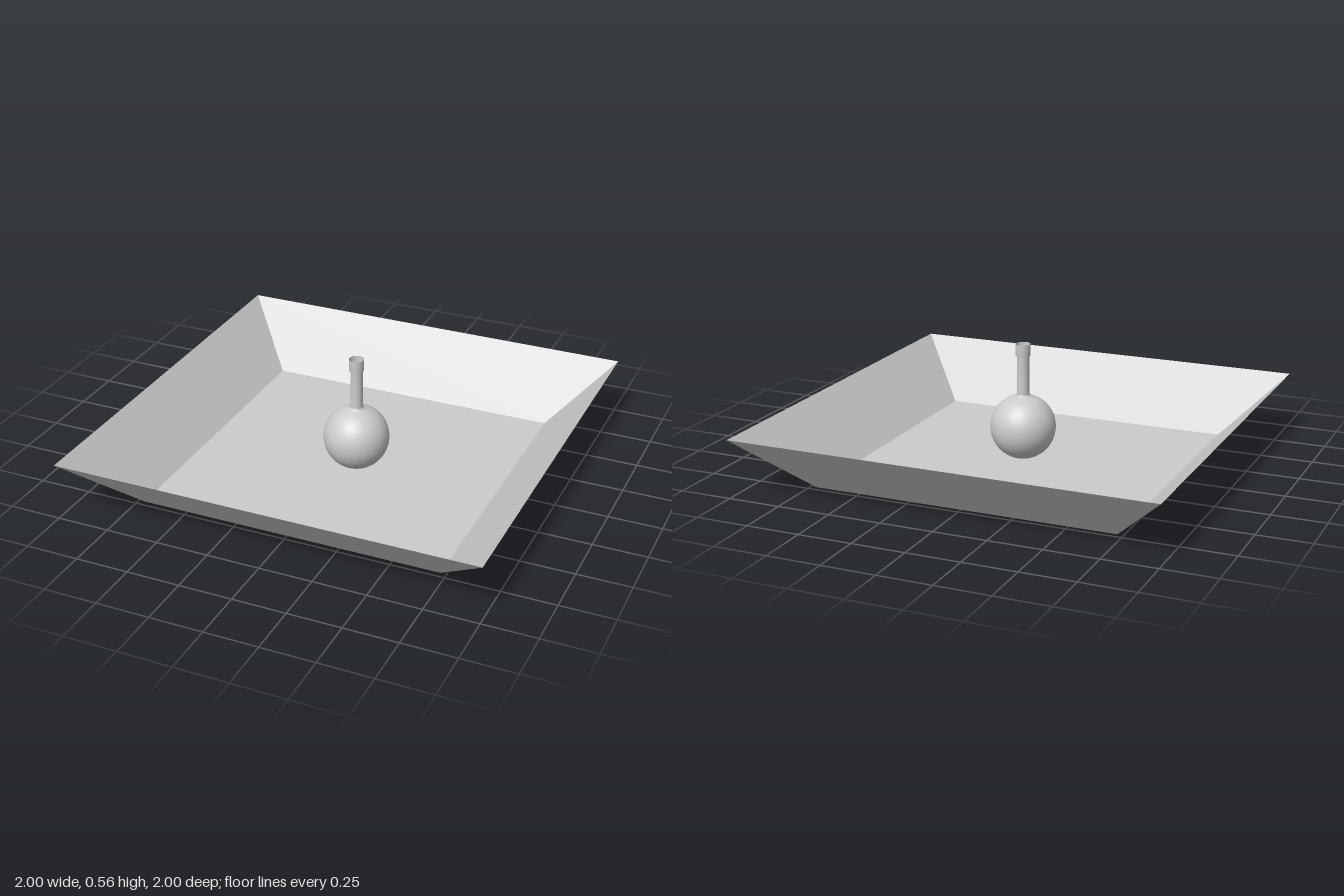
import * as THREE from 'three';

export function createModel() {
  const group = new THREE.Group();
  const material = { color: 0xcccccc, side: THREE.DoubleSide };
  const add = (name, geometry, mat) => {
    const mesh = new THREE.Mesh(geometry, mat);
    mesh.name = name;
    group.add(mesh);
    return mesh;
  };

  // Thin square tray: four sloping walls around a flat floor
  const rim = 1, base = 0.722, height = 0.272;
  const flat = new THREE.MeshStandardMaterial({ ...material, flatShading: true });
  const walls = new THREE.CylinderGeometry(
    rim * Math.SQRT2, base * Math.SQRT2, height, 4, 1, true, Math.PI / 4);
  add('trayWalls', walls.translate(0, height / 2, 0), flat);
  add('trayFloor', new THREE.PlaneGeometry(base * 2, base * 2).rotateX(-Math.PI / 2), flat);

  // Round flask: spherical bulb, slim neck and slightly wider open lip
  const r = 0.155, neck = 0.029, lip = 0.035;
  const profile = [];
  const end = Math.PI - Math.asin(0.045 / r);
  for (let i = 0; i <= 28; i++) {
    const a = (i / 28) * end;
    profile.push(new THREE.Vector2(r * Math.sin(a), r - r * Math.cos(a)));
  }
  profile.push(
    new THREE.Vector2(0.034, 0.308),
    new THREE.Vector2(neck, 0.318),
    new THREE.Vector2(neck, 0.495),
    new THREE.Vector2(lip, 0.502),
    new THREE.Vector2(lip, 0.557));
  const smooth = new THREE.MeshStandardMaterial(material);
  const flask = add('flask', new THREE.LatheGeometry(profile, 48), smooth);
  flask.position.set(0.03, 0.001, 0.027);

  return group;
}
